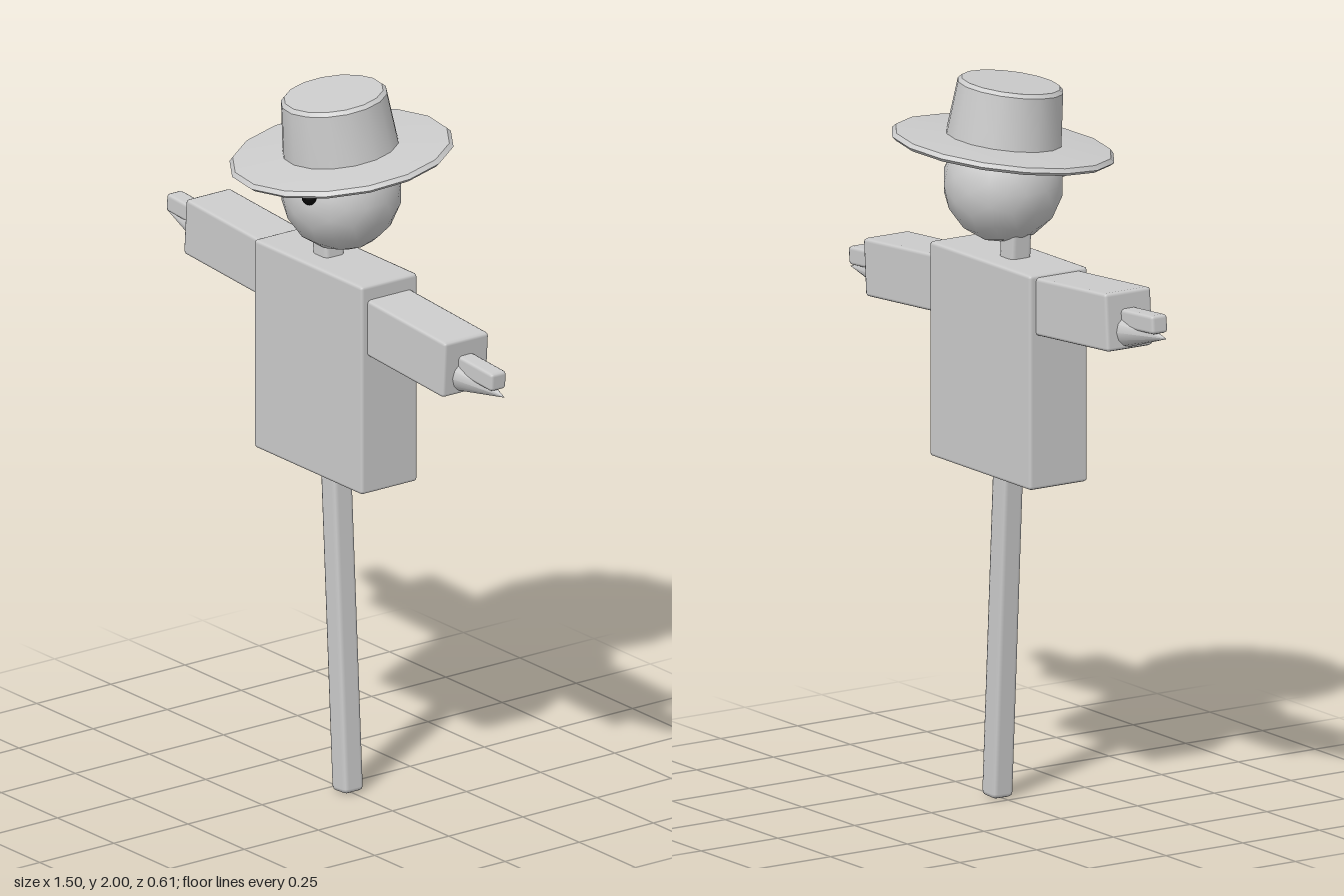
import * as THREE from 'three';
import { RoundedBoxGeometry } from 'three/addons/geometries/RoundedBoxGeometry.js';
import { toCreasedNormals } from 'three/addons/utils/BufferGeometryUtils.js';

const grey = new THREE.MeshStandardMaterial({ color: 0xcccccc });
grey.name = 'plain grey';
const black = new THREE.MeshStandardMaterial({ color: 0x050505 });
black.name = 'eye black';

function add(parent, name, geometry, material, x, y, z) {
  const mesh = new THREE.Mesh(geometry, material);
  mesh.name = name;
  mesh.position.set(x, y, z);
  parent.add(mesh);
  return mesh;
}

// box with a narrow bevel on every edge
const bevelBox = (w, h, d, r = 0.01) => new RoundedBoxGeometry(w, h, d, 1, r);

// turned shape with sharp rims
function turned(profile) {
  const points = profile.map(([r, y]) => new THREE.Vector2(r, y));
  return toCreasedNormals(new THREE.LatheGeometry(points, 16), 0.6);
}

export function createModel() {
  const model = new THREE.Group();
  model.name = 'scarecrow';

  // leaning pole, running up through the body into the head
  add(model, 'pole', bevelBox(0.066, 1.62, 0.066, 0.014), grey, 0.006, 0.812, 0).rotation.z = 0.0565;

  // body
  add(model, 'body', bevelBox(0.48, 0.595, 0.19), grey, -0.002, 1.2175, 0);

  // tilted crossbar with sleeves and straw hands
  const arms = new THREE.Group();
  arms.name = 'arms';
  arms.position.set(0, 1.41, 0);
  arms.rotation.z = -0.07;
  model.add(arms);
  add(arms, 'sleeves', bevelBox(1.156, 0.16, 0.15), grey, 0, 0, 0);
  add(arms, 'crossbar', bevelBox(1.45, 0.052, 0.052), grey, 0, 0.006, 0);
  for (const side of [-1, 1]) {
    const straw = new THREE.ConeGeometry(0.05, 0.2, 12);
    add(arms, side > 0 ? 'leftStrawHand' : 'rightStrawHand', straw, grey, side * 0.653, -0.03, 0)
      .rotation.z = -side * Math.PI / 2;
  }

  // head and eyes
  add(model, 'head', new THREE.IcosahedronGeometry(0.164, 2), grey, 0.02, 1.71, -0.002);
  for (const side of [-1, 1]) {
    add(model, side > 0 ? 'leftEye' : 'rightEye', new THREE.SphereGeometry(0.021, 12, 8), black,
      0.017 + side * 0.058, 1.737, 0.147);
  }

  // hat, tipped forward and to one side
  const hat = new THREE.Group();
  hat.name = 'hat';
  hat.position.set(0.018, 1.815, -0.004);
  hat.rotation.set(0.113, 0, 0.053);
  model.add(hat);
  add(hat, 'brim', turned([[0, -0.012], [0.296, -0.012], [0.306, -0.003], [0.296, 0.008], [0.15, 0.018], [0, 0.018]]),
    grey, 0, 0, 0);
  add(hat, 'crown', turned([[0, 0], [0.16, 0], [0.145, 0.162], [0.135, 0.172], [0, 0.172]]), grey, 0, 0, 0);

  return model;
}
